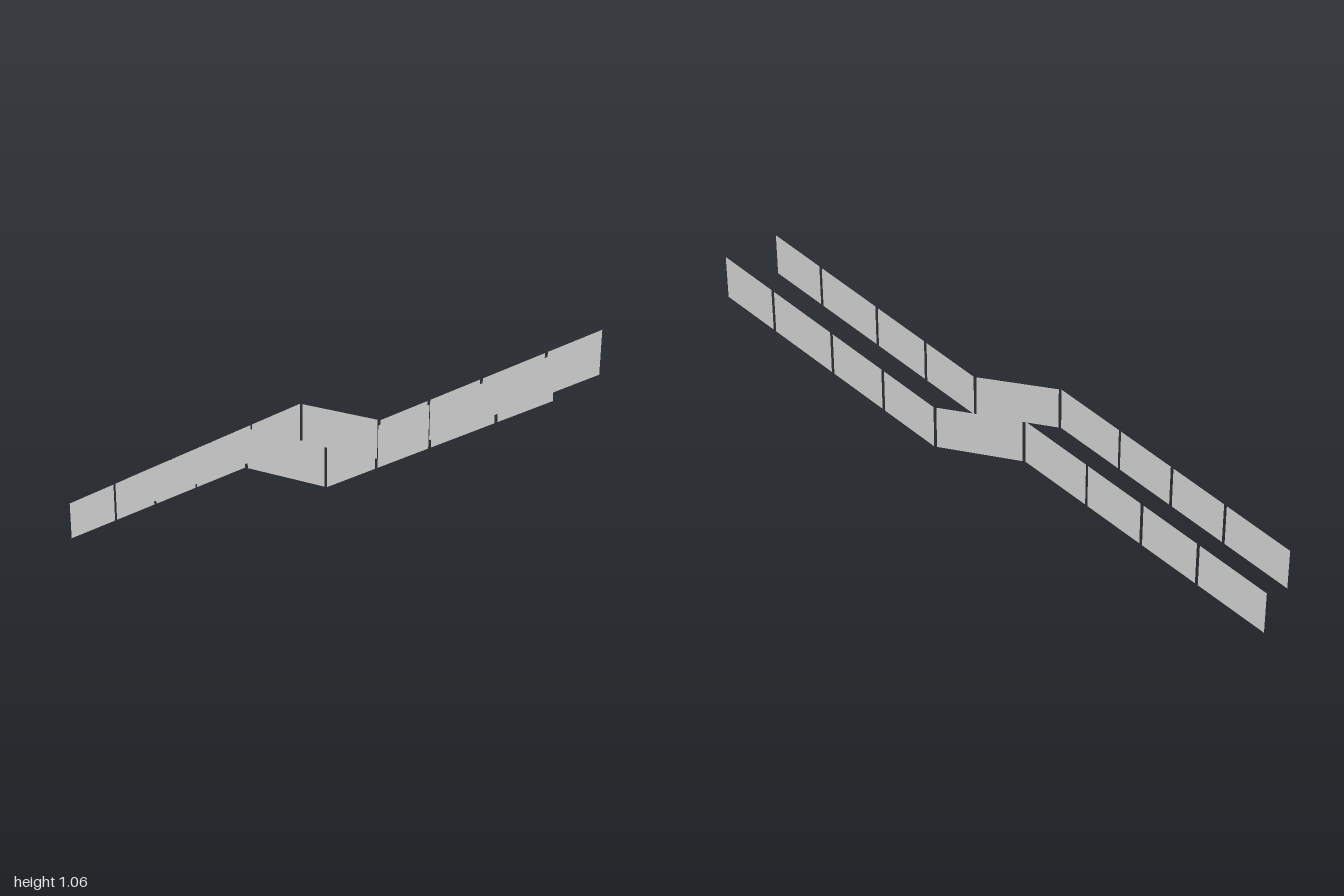
import * as THREE from 'three';

const HEIGHT = 0.146;   // vertical height of every panel
const SIDE_Z = 0.168;   // distance of each row from the centre line
const LANDING_Y = 0.47;

// Bottom edge of the rail: rising flight, level landing, rising flight
function bottomEdge(x) {
  if (x < -0.14) return (x + 1) * 0.551;
  if (x < 0.19) return LANDING_Y;
  return LANDING_Y + (x - 0.195) * 0.555;
}

// Start and end of each panel along x, with narrow gaps between
const spans = [
  [-1, -0.768], [-0.758, -0.57], [-0.56, -0.373], [-0.365, -0.147],
  [-0.136, 0.185],
  [0.196, 0.384], [0.394, 0.581], [0.591, 0.81], [0.82, 1],
];

// Thin upright pane, sheared to follow the slope
function makePanel([x0, x1], material) {
  const geometry = new THREE.PlaneGeometry(x1 - x0, HEIGHT);
  geometry.translate((x0 + x1) / 2, HEIGHT / 2, 0);
  const p = geometry.attributes.position;
  for (let i = 0; i < p.count; i++) p.setY(i, p.getY(i) + bottomEdge(p.getX(i)));
  geometry.computeVertexNormals();
  return new THREE.Mesh(geometry, material);
}

export function createModel() {
  const model = new THREE.Group();
  model.name = 'stairBalustrade';
  const material = new THREE.MeshStandardMaterial({ color: 0xcccccc, side: THREE.DoubleSide });

  // One row of panels on each side of the stair
  for (const side of [1, -1]) {
    const row = new THREE.Group();
    row.name = side > 0 ? 'frontBalustrade' : 'backBalustrade';
    row.position.z = side * SIDE_Z;
    spans.forEach((span, i) => {
      const panel = makePanel(span, material);
      panel.name = i < 4 ? `lowerFlightPanel${i + 1}` : i === 4 ? 'landingPanel' : `upperFlightPanel${i - 4}`;
      row.add(panel);
    });
    model.add(row);
  }
  return model;
}
